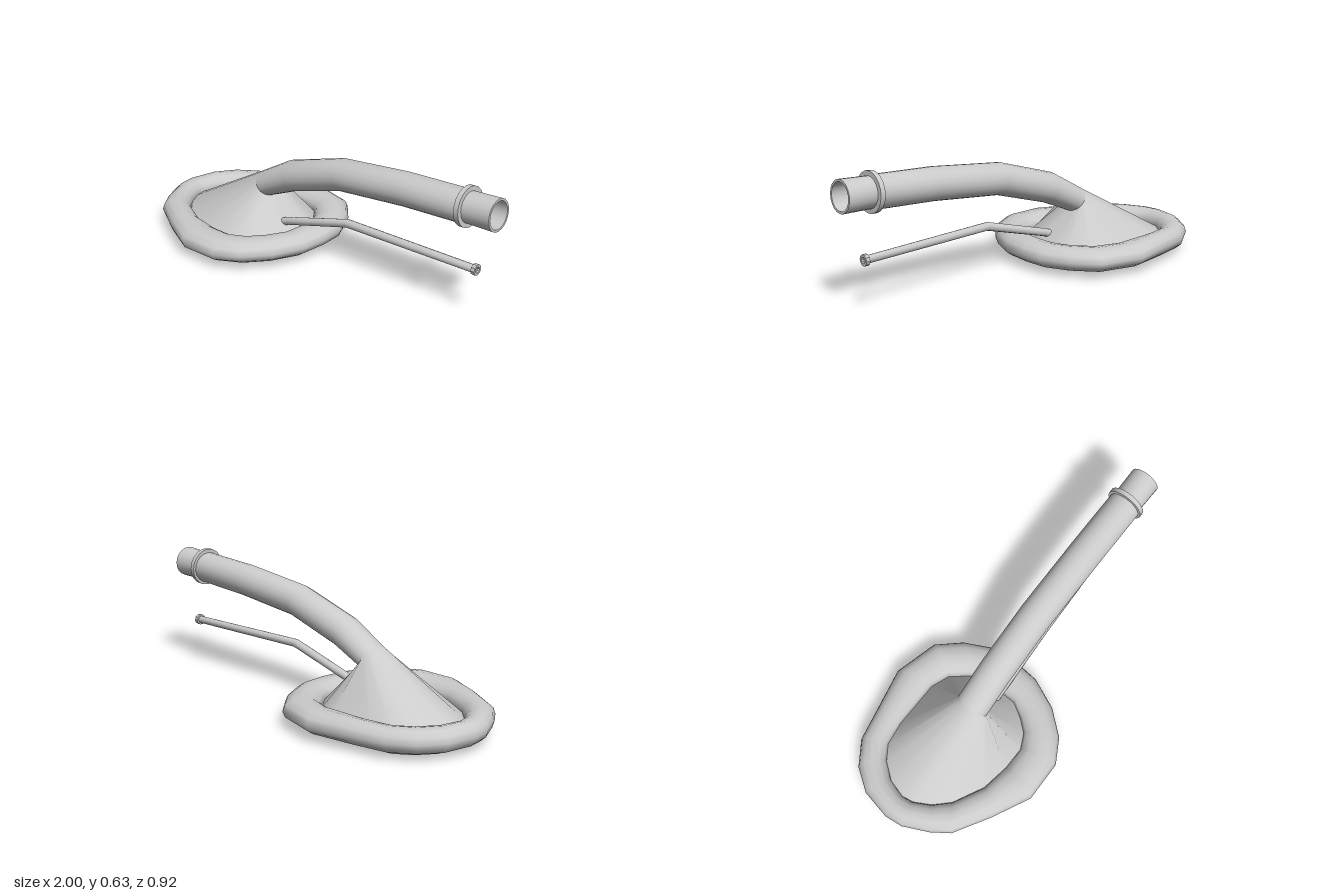
import * as THREE from 'three';
import { toCreasedNormals } from 'three/addons/utils/BufferGeometryUtils.js';

const material = new THREE.MeshStandardMaterial({ color: 0xcccccc, side: THREE.DoubleSide });

// Cuff outline in plan: outer x, outer z, inner x, inner z
const OUTLINE = [
  [-1, -.04, -.875, -.04], [-.97, -.19, -.85, -.13], [-.895, -.30, -.79, -.21],
  [-.78, -.38, -.72, -.26], [-.60, -.42, -.60, -.28], [-.40, -.465, -.36, -.28],
  [-.18, -.41, -.265, -.245], [-.08, -.30, -.19, -.15], [-.01, -.16, -.17, -.09],
  [0, -.03, -.17, -.03], [-.013, .107, -.175, .095], [-.08, .26, -.22, .17],
  [-.18, .38, -.27, .23], [-.30, .45, -.345, .267], [-.505, .455, -.46, .267],
  [-.69, .365, -.60, .245], [-.87, .26, -.75, .17], [-.93, .175, -.82, .10],
  [-.99, .05, -.865, .02],
];
const N = OUTLINE.length;

// Skin through a stack of closed rings
function loft(rings, closed = false) {
  const n = rings[0].length, index = [];
  const last = closed ? rings.length : rings.length - 1;
  for (let j = 0; j < last; j++) {
    for (let i = 0; i < n; i++) {
      const k = (i + 1) % n, up = ((j + 1) % rings.length) * n;
      const a = j * n + i, b = j * n + k, c = up + i, d = up + k;
      index.push(a, c, b, b, c, d);
    }
  }
  const geometry = new THREE.BufferGeometry();
  geometry.setAttribute('position', new THREE.Float32BufferAttribute(rings.flat(2), 3));
  geometry.setIndex(index);
  geometry.computeVertexNormals();
  return geometry;
}

// Horizontal ring between the inner (t = 0) and outer (t = 1) outline
function planRing(t, y) {
  return OUTLINE.map(([ox, oz, ix, iz]) => [ix + (ox - ix) * t, y, iz + (oz - iz) * t]);
}

// Ring across a pipe that runs towards +x, tilted in the side plane
function pipeRing([x, y, z, tilt, rUp, rSide = rUp], n) {
  return Array.from({ length: n }, (_, i) => {
    const a = (i / n) * Math.PI * 2, u = Math.cos(a) * rUp;
    return [x - Math.sin(tilt) * u, y + Math.cos(tilt) * u, z - Math.sin(a) * rSide];
  });
}

// Turned part whose axis points along +x
function turned(profile, sides, x, y, z, tilt) {
  const points = profile.map(([r, h]) => new THREE.Vector2(r, h));
  const geometry = toCreasedNormals(new THREE.LatheGeometry(points, sides), 0.6);
  geometry.rotateZ(-Math.PI / 2 + tilt);
  geometry.translate(x, y, z);
  return geometry;
}

export function createModel() {
  const group = new THREE.Group();
  const add = (name, geometry) => {
    const mesh = new THREE.Mesh(geometry, material);
    mesh.name = name;
    group.add(mesh);
  };

  // Inflated cuff with an oval section
  const sides = 12, cuffRings = [];
  for (let k = 0; k < sides; k++) {
    const a = (k / sides) * Math.PI * 2;
    cuffRings.push(planRing(0.5 + 0.5 * Math.cos(a), 0.083 + 0.058 * Math.sin(a)));
  }
  add('cuff', loft(cuffRings, true));

  // Flared lip below the cuff, and the wall inside it
  add('lipOuter', loft([planRing(0.2, 0), planRing(0.38, 0.035)]));
  add('lipInner', loft([planRing(0.2, 0), planRing(0, 0.083)]));

  // Airway tube and the cone-shaped bowl that leads into it
  const tubePath = [
    [-.36, .295, -.01, .6, .066, .082],
    [-.185, .383, -.01, .38, .077, .082],
    [.13, .478, -.01, .2, .078, .082],
    [.51, .517, -.01, .08, .079, .082],
    [.85, .534, -.01, .04, .078, .082],
  ];
  const tubeRings = tubePath.map((p) => pipeRing(p, N));
  add('bowl', loft([planRing(0, 0.083), tubeRings[0]]));
  add('airwayTube', loft(tubeRings));

  // Collar and hollow connector at the tube end
  add('collar', turned(
    [[.065, -.012], [.095, -.012], [.095, .012], [.065, .012], [.065, -.012]],
    20, .843, .536, -.01, .04));
  add('connector', turned(
    [[.065, 0], [.073, 0], [.076, .15], [.065, .15], [.065, 0]],
    20, .85, .536, -.01, .04));

  // Thin inflation line with its end valve
  const linePath = [
    [-.26, .12, .022, .3, .02], [-.2, .142, .02, .28, .02],
    [.18, .248, .012, .13, .021], [.89, .241, -.022, 0, .019],
  ];
  add('inflationLine', loft(linePath.map((p) => pipeRing(p, 10))));
  add('inflationValve', turned(
    [[0, -.012], [.027, -.012], [.027, .008], [.015, .008], [.015, -.004], [0, -.004]],
    10, .895, .241, -.022, 0));

  return group;
}
